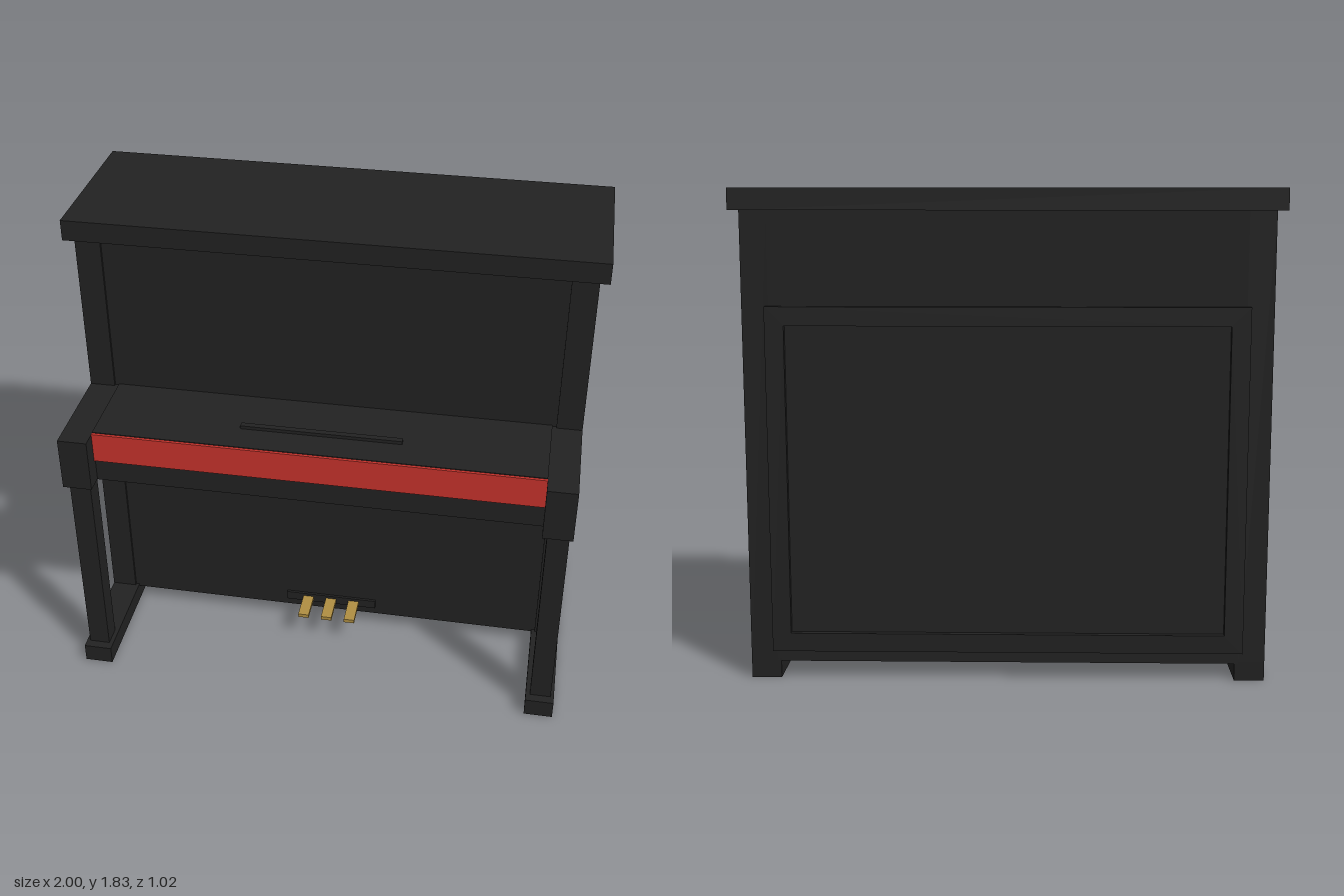
import * as THREE from 'three';

export function createModel() {
  const model = new THREE.Group();
  model.name = 'uprightPiano';

  const black = new THREE.MeshStandardMaterial({ color: 0x222222 });
  black.name = 'blackLacquer';
  const red = new THREE.MeshStandardMaterial({ color: 0xcb342d });
  red.name = 'redFelt';
  const brass = new THREE.MeshStandardMaterial({ color: 0xb08f42 });
  brass.name = 'brass';

  // Box given by its limits on each axis
  function box(name, material, [x0, x1], [y0, y1], [z0, z1]) {
    const mesh = new THREE.Mesh(new THREE.BoxGeometry(x1 - x0, y1 - y0, z1 - z0), material);
    mesh.position.set((x0 + x1) / 2, (y0 + y1) / 2, (z0 + z1) / 2);
    mesh.name = name;
    model.add(mesh);
    return mesh;
  }
  // The same box on both sides
  function pair(name, material, [x0, x1], y, z) {
    box('left' + name, material, [x0, x1], y, z);
    box('right' + name, material, [-x1, -x0], y, z);
  }

  // Case: top lid, side walls and the body between them
  box('topLid', black, [-1, 1], [1.75, 1.83], [-0.51, 0.135]);
  pair('SideWall', black, [0.867, 0.965], [0.075, 1.75], [-0.478, 0.103]);
  box('body', black, [-0.867, 0.867], [0.065, 1.75], [-0.478, 0.093]);

  // Feet, front legs and arms
  pair('Foot', black, [0.853, 0.965], [0, 0.075], [-0.478, 0.51]);
  pair('FrontLeg', black, [0.87, 0.952], [0.075, 0.895], [0.395, 0.475]);
  pair('Arm', black, [0.852, 0.965], [0.895, 1.108], [0.093, 0.51]);

  // Keyboard: bed, red front under a black fall board, music ledge
  box('keyBed', black, [-0.852, 0.852], [0.893, 0.988], [0.093, 0.437]);
  box('keyCover', red, [-0.852, 0.852], [0.988, 1.109], [0.093, 0.449]);
  box('fallBoard', black, [-0.852, 0.852], [1.109, 1.112], [0.093, 0.438]);
  box('musicLedge', black, [-0.308, 0.308], [1.112, 1.125], [0.295, 0.318]);

  // Pedals and their plate
  box('pedalPlate', black, [-0.19, 0.19], [0.1, 0.138], [0.093, 0.103]);
  for (const x of [-0.097, 0, 0.097]) {
    box('pedal', brass, [x - 0.022, x + 0.022], [0.11, 0.126], [0.095, 0.222]);
  }

  // Raised frame on the back
  const frame = new THREE.Shape([
    new THREE.Vector2(-0.88, 0.11), new THREE.Vector2(0.88, 0.11),
    new THREE.Vector2(0.88, 1.405), new THREE.Vector2(-0.88, 1.405),
  ]);
  frame.holes.push(new THREE.Path([
    new THREE.Vector2(-0.81, 0.18), new THREE.Vector2(-0.81, 1.335),
    new THREE.Vector2(0.81, 1.335), new THREE.Vector2(0.81, 0.18),
  ]));
  const backFrame = new THREE.Mesh(
    new THREE.ExtrudeGeometry(frame, { depth: 0.024, bevelEnabled: false }), black);
  backFrame.position.z = -0.5;
  backFrame.name = 'backFrame';
  model.add(backFrame);

  return model;
}
